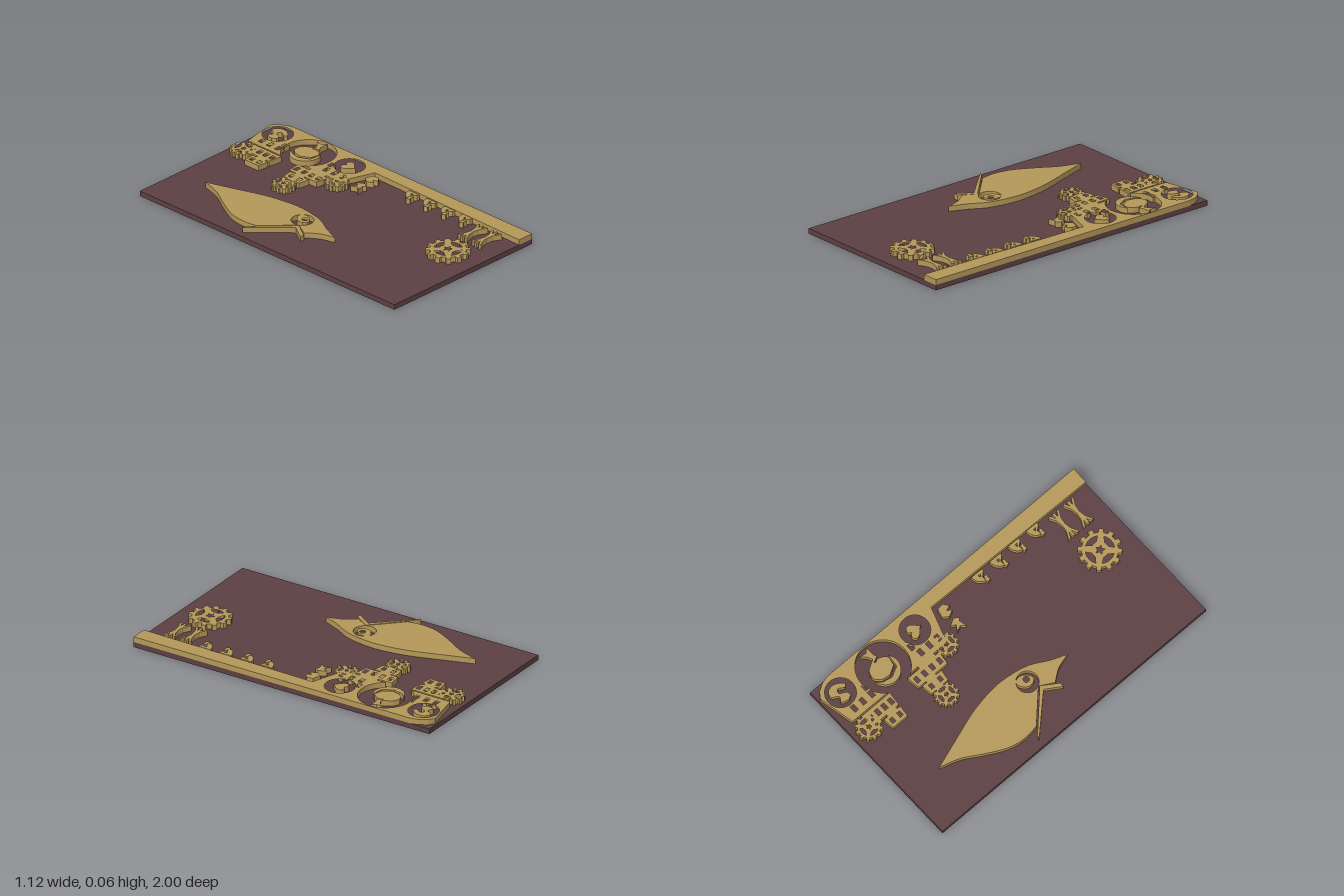
import * as THREE from 'three';

const BASE_TOP = 0.032, RELIEF = 0.033;
const gold = new THREE.MeshStandardMaterial({ color: 0xb5985a });
const wood = new THREE.MeshStandardMaterial({ color: 0x5c4042 });

// Plan points are [x, z]; shapes are drawn with y = -z and laid flat.
const vecs = pts => pts.map(([x, z]) => new THREE.Vector2(x, -z));
const shift = (pts, dx, dz, s = 1) => pts.map(([x, z]) => [x * s + dx, z * s + dz]);
const arc = (cx, cz, r, a0, a1, n = 32) => Array.from({ length: n + 1 }, (_, i) => {
  const a = a0 + (a1 - a0) * i / n;
  return [cx + r * Math.cos(a), cz + r * Math.sin(a)];
});
const circle = (cx, cz, r, n = 36) => arc(cx, cz, r, 0, Math.PI * 2, n).slice(0, -1);
const rect = (cx, cz, w, h) => [[cx - w / 2, cz - h / 2], [cx + w / 2, cz - h / 2], [cx + w / 2, cz + h / 2], [cx - w / 2, cz + h / 2]];
const smooth = (pts, n = 24) => new THREE.SplineCurve(pts.map(p => new THREE.Vector2(...p))).getPoints(n).map(p => [p.x, p.y]);

function relief(name, outline, holes = []) {
  const shape = new THREE.Shape(vecs(outline));
  holes.forEach(h => shape.holes.push(new THREE.Path(vecs(h))));
  const geo = new THREE.ExtrudeGeometry(shape, { depth: RELIEF, bevelEnabled: false });
  geo.rotateX(-Math.PI / 2);
  const mesh = new THREE.Mesh(geo, gold);
  mesh.position.y = BASE_TOP;
  mesh.name = name;
  return mesh;
}

// Toothed wheel with diagonal spokes and a star-shaped axle hole
function gear(name, cx, cz, r, teeth) {
  const outline = [];
  for (let i = 0; i < teeth; i++) {
    const step = Math.PI * 2 / teeth;
    [[-0.27, 0.83], [-0.2, 1], [0.2, 1], [0.27, 0.83]].forEach(([t, k]) => {
      const a = (i + t) * step + step / 2;
      outline.push([cx + r * k * Math.cos(a), cz + r * k * Math.sin(a)]);
    });
  }
  const holes = [];
  for (let i = 0; i < 4; i++) {
    const a = i * Math.PI / 2;
    holes.push([...arc(cx, cz, r * 0.66, a - 0.56, a + 0.56, 10), ...arc(cx, cz, r * 0.4, a + 0.3, a - 0.3, 4)]);
  }
  holes.push(Array.from({ length: 10 }, (_, i) => {
    const a = i * Math.PI / 5 - Math.PI / 2, k = r * (i % 2 ? 0.1 : 0.23);
    return [cx + k * Math.cos(a), cz + k * Math.sin(a)];
  }));
  return relief(name, outline, holes);
}

// Stepped tower block with a column of windows
function tower(name, x0, x1, z0, z1, windows, taper) {
  const holes = [];
  for (let i = 0; i < windows; i++) {
    holes.push(rect((x0 + x1) / 2, z0 + (z1 - z0) * (i + 0.6) / (windows + 0.2), (x1 - x0) * 0.45, 0.024));
  }
  return relief(name, [[x0, z0 + taper], [x1, z0], [x1, z1], [x0, z1 - taper]], holes);
}

export function createModel() {
  const model = new THREE.Group();
  const add = (...m) => model.add(...m);

  const base = new THREE.Mesh(new THREE.BoxGeometry(1.12, BASE_TOP, 2), wood);
  base.position.y = BASE_TOP / 2;
  base.name = 'basePlate';
  add(base);

  // Edge strip
  add(relief('edgeStrip', [[0.478, -0.155], [0.56, -0.25], [0.56, 1], [0.455, 1], [0.466, 0.4]]));

  // Leaf body with an eye socket
  const leaf = [
    ...smooth([[-0.27, -0.765], [-0.31, -0.64], [-0.38, -0.52], [-0.445, -0.39], [-0.463, -0.28], [-0.452, -0.19]]),
    [-0.28, -0.02], [-0.328, 0.065],
    ...smooth([[-0.328, 0.065], [-0.275, 0.14], [-0.248, 0.23]], 8).slice(1),
    ...smooth([[-0.248, 0.23], [-0.205, 0.125], [-0.15, 0.02], [-0.122, -0.12], [-0.122, -0.24], [-0.15, -0.4], [-0.205, -0.57], [-0.27, -0.765]], 32).slice(1, -1),
  ];
  add(relief('leafBody', leaf, [circle(-0.22, -0.05, 0.066)]));
  const drop = smooth([[-0.245, -0.025], [-0.245, -0.065], [-0.21, -0.1], [-0.175, -0.1], [-0.166, -0.06], [-0.19, -0.02], [-0.225, -0.005]]);
  add(relief('eyeDrop', drop, [circle(-0.205, -0.045, 0.018, 16)]));
  add(relief('leafHook', [[-0.522, -0.232], [-0.497, -0.222], [-0.285, -0.015], [-0.348, 0.083], [-0.376, 0.083], [-0.315, -0.012]]));

  // Two housings cut by the central round recess
  const C = [0.394, -0.595], R = 0.16;
  const left = Math.PI - Math.asin(0.55);
  const windowAt = ([x, z]) => rect(x, z, 0.042, 0.026);
  add(relief('rearHousing',
    [[0.262, -0.945], [0.485, -0.99], [0.52, -0.965], [0.55, -0.915], [0.56, -0.87], [0.56, C[1]],
      ...arc(...C, R, 0, -left)],
    [circle(0.437, -0.88, 0.09), ...[[0.315, -0.885], [0.315, -0.82], [0.315, -0.755], [0.37, -0.755]].map(windowAt)]));
  add(relief('frontHousing',
    [[0.56, C[1]], [0.56, -0.25], [0.53, -0.2], [0.478, -0.155], [0.262, -0.23], [0.262, -0.46],
      ...arc(...C, R, left, 0)],
    [circle(0.437, -0.315, 0.09), ...[[0.315, -0.25], [0.315, -0.315], [0.315, -0.38], [0.375, -0.4]].map(windowAt)]));

  // Emblems inside the recesses
  const heart = Array.from({ length: 32 }, (_, i) => {
    const t = i * Math.PI / 16;
    return [Math.sin(t) ** 3 * 0.046, -(13 * Math.cos(t) - 5 * Math.cos(2 * t) - 2 * Math.cos(3 * t) - Math.cos(4 * t)) * 0.003];
  });
  add(relief('heart', shift(heart, 0.437, -0.32)));
  add(relief('curledEmblem', smooth([[0.375, -0.87], [0.39, -0.915], [0.425, -0.9], [0.45, -0.94], [0.49, -0.925],
    [0.498, -0.875], [0.465, -0.825], [0.445, -0.84], [0.465, -0.875], [0.44, -0.89], [0.415, -0.85], [0.39, -0.845]], 44)));
  add(relief('splitBodyLeft', [...arc(0.37, -0.6, 0.09, 0.95, 4.5, 24), [0.325, -0.66], [0.312, -0.6], [0.345, -0.535]]));
  add(relief('splitBodyCore', [[0.365, -0.68], ...arc(0.37, -0.6, 0.088, -1.4, -0.3, 10), [0.44, -0.61],
    ...arc(0.37, -0.6, 0.08, 0.1, 1.0, 10), [0.36, -0.545], [0.33, -0.6], [0.338, -0.65]]));
  add(relief('splitBodyTail', [[0.395, -0.69], [0.43, -0.67], [0.465, -0.61], [0.495, -0.625], [0.522, -0.655],
    [0.518, -0.615], [0.54, -0.59], [0.49, -0.59], [0.462, -0.58], [0.44, -0.63]]));

  // Stepped towers beside the housings
  add(tower('rearTower', 0.165, 0.252, -0.88, -0.672, 4, 0.01));
  add(tower('rearTurret', 0.082, 0.152, -0.805, -0.682, 2, 0.008));
  add(tower('frontTower', 0.165, 0.247, -0.54, -0.3, 4, 0.012));
  add(tower('frontTurret', 0.088, 0.157, -0.51, -0.365, 2, 0.01));
  add(relief('rearTowerLink', rect(0.159, -0.74, 0.02, 0.07)));
  add(relief('frontTowerLink', rect(0.161, -0.44, 0.02, 0.07)));
  add(relief('frontHousingLink', rect(0.255, -0.39, 0.02, 0.12)));

  // Gears
  add(gear('largeGear', 0.098, 0.786, 0.127, 12));
  add(gear('turretGear', 0.03, -0.44, 0.073, 12));
  add(gear('rearGear', 0.177, -0.897, 0.08, 12));
  add(gear('frontGear', 0.255, -0.24, 0.073, 12));

  // Forked bow ornaments
  const half = [[0, -0.01], [0.04, -0.016], [0.085, -0.04], [0.09, -0.026], [0.055, -0.008], [0.088, -0.008],
    [0.088, 0.006], [0.055, 0.008], [0.09, 0.026], [0.085, 0.04], [0.04, 0.016], [0, 0.01]];
  const bow = [...half, ...half.slice(1, -1).map(([x, z]) => [-x, -z])];
  [0.735, 0.845].forEach((z, i) => add(relief('forkedBow' + (i + 1), shift(bow, 0.348, z))));
  const wing = [[0.012, 0], [0.035, -0.035], [0.088, -0.022], [0.094, 0.02], [0.06, 0.045], [0.05, 0.012], [0.03, 0.04]];
  add(relief('wingRight', shift(wing, 0.355, -0.115)));
  add(relief('wingLeft', shift([[-0.01, 0.01], [-0.035, -0.035], [-0.05, -0.005], [-0.088, -0.03], [-0.07, 0.01],
    [-0.092, 0.035], [-0.045, 0.025], [-0.03, 0.04]], 0.355, -0.115)));

  // Row of small shells along the strip
  const shell = [...smooth([[0.04, -0.042], [0.005, -0.035], [-0.022, -0.012], [-0.03, 0.01]], 8),
    [0, 0.008], [0.022, 0.036], [0.038, 0.038]];
  for (let i = 0; i < 4; i++) {
    const z = 0.175 + i * 0.139;
    add(relief('shell' + (i + 1), shift(shell, 0.42, z), [[[0.424, z - 0.002], [0.441, z - 0.006], [0.441, z + 0.012]]]));
    add(relief('shellFoot' + (i + 1), shift([[-0.045, 0.012], [-0.03, 0.01], [0, 0.016], [-0.005, 0.036], [-0.022, 0.03], [-0.037, 0.036]], 0.42, z)));
  }
  return model;
}
